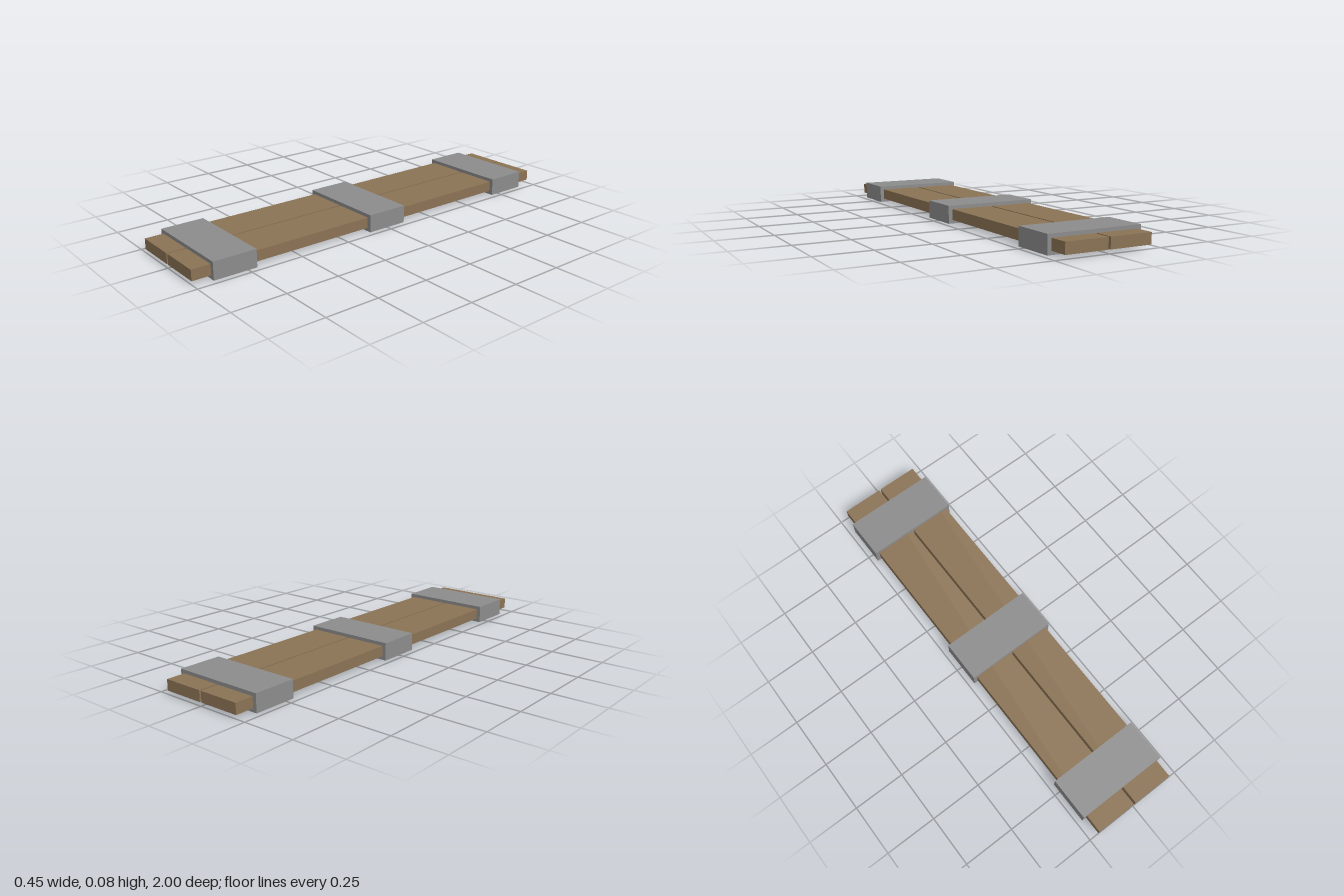
import * as THREE from 'three';

export function createModel() {
  const group = new THREE.Group();
  const wood = new THREE.MeshStandardMaterial({ color: 0x8b7355 });
  wood.name = 'wood';
  const metal = new THREE.MeshStandardMaterial({ color: 0x8c8c8c });
  metal.name = 'metal';

  const addBox = (name, size, position, material) => {
    const mesh = new THREE.Mesh(new THREE.BoxGeometry(...size), material);
    mesh.name = name;
    mesh.position.set(...position);
    group.add(mesh);
  };

  const midY = 0.0415;

  // Two long planks with a narrow gap between them
  addBox('leftPlank', [0.199, 0.05, 2], [0.1045, midY, 0], wood);
  addBox('rightPlank', [0.199, 0.05, 2], [-0.1045, midY, 0], wood);

  // Three metal bands clasping the planks
  const bands = { frontBand: 0.81, middleBand: 0, backBand: -0.81 };
  for (const [name, z] of Object.entries(bands)) {
    addBox(name, [0.446, 0.083, 0.204], [0, midY, z], metal);
  }

  return group;
}
